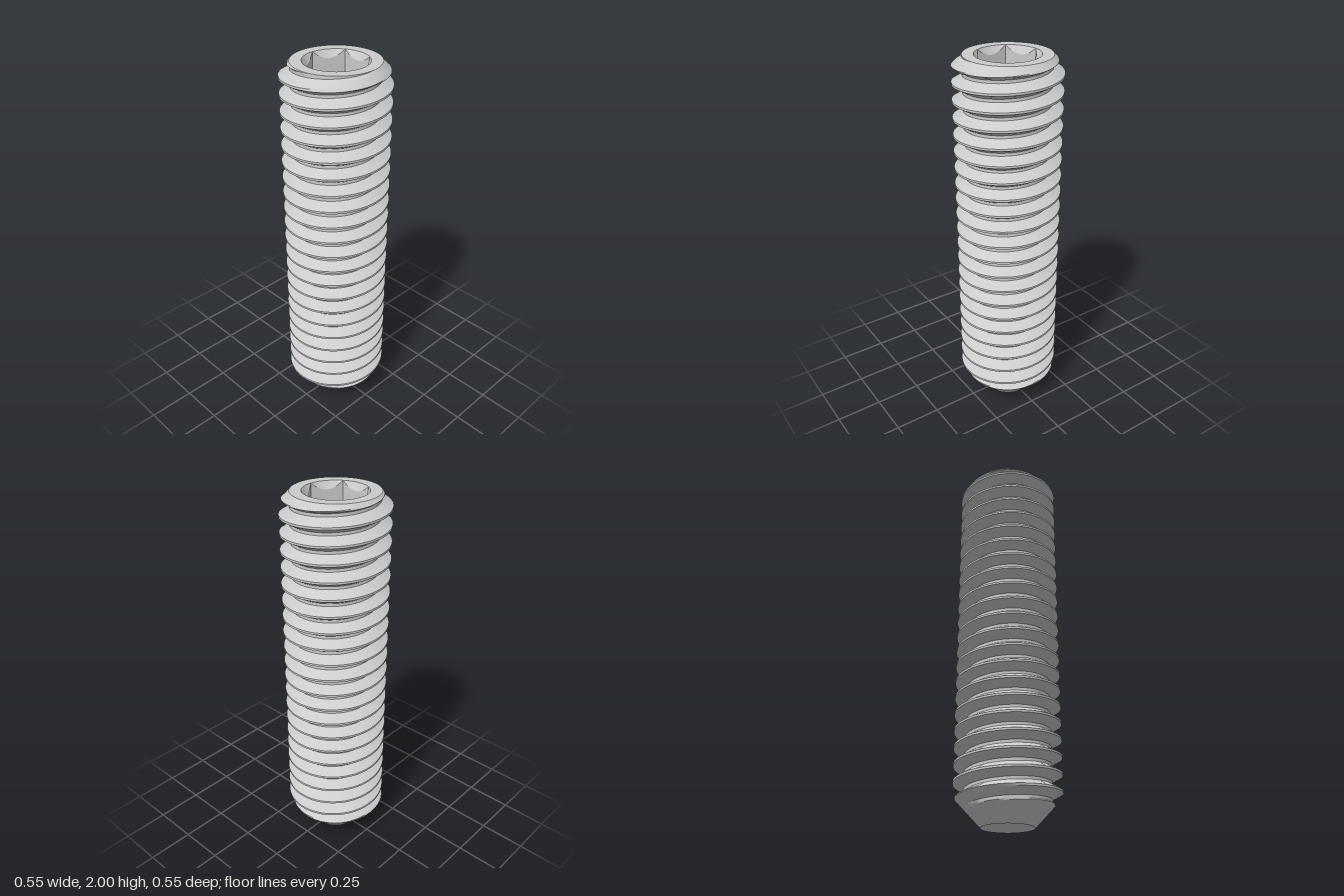
import * as THREE from 'three';
import { toCreasedNormals } from 'three/addons/utils/BufferGeometryUtils.js';

const SEG = 72, HEIGHT = 2;
const MAJOR = 0.277, MINOR = 0.223, PITCH = 0.0889, PHASE = 0.183;
const TIP = 0.135, TIP_SLOPE = 1.06, CUP_DEPTH = 0.078;
const HEX_FLAT = 0.143, HEX_CORNER = HEX_FLAT / Math.cos(Math.PI / 6), SOCKET_DEPTH = 0.33;

const material = new THREE.MeshStandardMaterial({ color: 0xcccccc });

// Closed surface around y: at(row, angle) returns [radius, y]
function sweep(name, rows, at) {
  const pos = [], idx = [];
  for (let j = 0; j < rows; j++) {
    for (let i = 0; i <= SEG; i++) {
      const a = (i / SEG) * Math.PI * 2;
      const [r, y] = at(j, a);
      pos.push(r * Math.cos(a), y, -r * Math.sin(a));
    }
  }
  const v = (k) => new THREE.Vector3().fromArray(pos, k * 3);
  const tri = (a, b, c) => {
    const area = v(b).sub(v(a)).cross(v(c).sub(v(a))).length();
    if (area > 1e-9) idx.push(a, b, c); // drop collapsed triangles
  };
  for (let j = 0; j < rows - 1; j++) {
    for (let i = 0; i < SEG; i++) {
      const a = j * (SEG + 1) + i, d = a + SEG + 1;
      tri(a, a + 1, d + 1);
      tri(a, d + 1, d);
    }
  }
  const g = new THREE.BufferGeometry();
  g.setAttribute('position', new THREE.Float32BufferAttribute(pos, 3));
  g.setIndex(idx);
  const mesh = new THREE.Mesh(toCreasedNormals(g, 0.45), material);
  mesh.name = name;
  return mesh;
}

// One pitch of the thread as [offset from crest, radius]
function threadProfile() {
  const crest = PITCH / 16, flank = (MAJOR - MINOR) * Math.tan(Math.PI / 6), steps = 5;
  const points = [];
  for (let k = 0; k <= steps; k++) {
    const t = k / steps;
    points.push([crest + flank * t, MAJOR + (MINOR - MAJOR) * t]);
  }
  const mirrored = points.map(([o, r]) => [-o, r]).reverse();
  return [...mirrored, ...points];
}

// Helical thread, trimmed by the top chamfer and the conical point
function threadedBody() {
  const profile = threadProfile(), n = profile.length;
  const turns = Math.ceil(HEIGHT / PITCH) + 6;
  return sweep('threadedBody', turns * n, (j, a) => {
    const [offset, radius] = profile[j % n];
    const turn = Math.floor(j / n) - 4;
    const raw = PHASE + PITCH * (turn + a / (Math.PI * 2)) + offset;
    const y = Math.min(HEIGHT, Math.max(0, raw));
    const thread = y === raw ? radius : MAJOR;
    return [Math.min(thread, MINOR + HEIGHT - y, TIP + y / TIP_SLOPE), y];
  });
}

// Hexagonal socket with a conical lead-in and a flat floor
function hexSocket() {
  const side = Math.PI / 3;
  return sweep('hexSocket', 4, (j, a) => {
    const h = HEX_FLAT / Math.cos((a % side) - side / 2);
    const floor = HEIGHT - SOCKET_DEPTH;
    return [
      [HEX_CORNER, HEIGHT],
      [h, HEIGHT - (HEX_CORNER - h) * Math.sqrt(3)],
      [h, floor],
      [0, floor],
    ][j];
  });
}

export function createModel() {
  const group = new THREE.Group();
  group.name = 'setScrew';
  group.add(threadedBody(), hexSocket());

  // Flat ring around the socket
  group.add(sweep('topFace', 2, (j) => [j ? HEX_CORNER : MINOR, HEIGHT]));

  // Conical hollow in the point
  group.add(sweep('cupPoint', 2, (j) => (j ? [TIP, 0] : [0, CUP_DEPTH])));
  return group;
}
